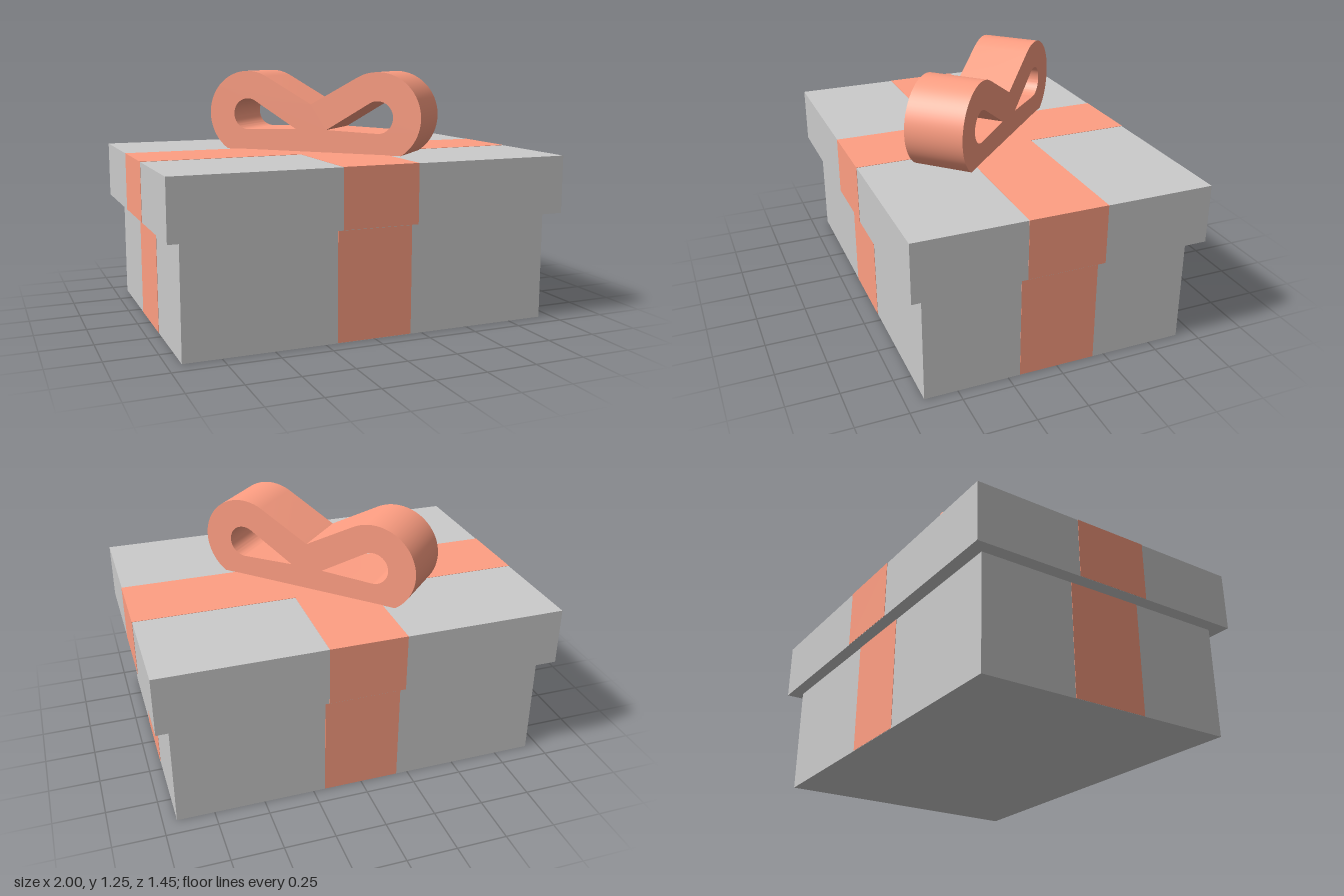
import * as THREE from 'three';
import { toCreasedNormals } from 'three/addons/utils/BufferGeometryUtils.js';

const grey = new THREE.MeshStandardMaterial({ color: 0xcccccc });
const salmon = new THREE.MeshStandardMaterial({ color: 0xff9f83 });

function box(name, material, halfX, halfZ, y0, y1) {
  const mesh = new THREE.Mesh(new THREE.BoxGeometry(halfX * 2, y1 - y0, halfZ * 2), material);
  mesh.position.y = (y0 + y1) / 2;
  mesh.name = name;
  return mesh;
}

// Two mirrored round loops meeting in a V, each with a teardrop hole
function bowGeometry() {
  const loopX = 0.36, loopY = 1.026, radius = 0.224, holeRadius = 0.081, depth = 0.298;
  const arc = (r, from, to) => Array.from({ length: 41 }, (_, i) => {
    const a = THREE.MathUtils.degToRad(from + (to - from) * i / 40);
    return new THREE.Vector2(loopX + r * Math.cos(a), loopY + r * Math.sin(a));
  });
  const mirror = (points) => points.map((p) => new THREE.Vector2(-p.x, p.y)).reverse();

  const side = arc(radius, -90, 118);
  const shape = new THREE.Shape([...side, new THREE.Vector2(0, 1.083), ...mirror(side)]);
  const hole = [...arc(holeRadius, -92, 121), new THREE.Vector2(0.085, 0.955)];
  shape.holes.push(new THREE.Path(hole), new THREE.Path(mirror(hole)));

  const geometry = new THREE.ExtrudeGeometry(shape, { depth, bevelEnabled: false });
  geometry.translate(0, 0, -depth / 2);
  return toCreasedNormals(geometry, 0.5);
}

export function createModel() {
  const group = new THREE.Group();
  const skin = 0.0015; // ribbons lie almost flush on the box
  const parts = [
    { name: 'body', x: 0.933, z: 0.661, y0: 0, y1: 0.55, top: 0 },
    { name: 'lid', x: 0.9985, z: 0.725, y0: 0.55, y1: 0.839, top: skin },
  ];
  const ribbonHalf = 0.191;

  // Body and lid, each wrapped by two crossing ribbons
  for (const { name, x, z, y0, y1, top } of parts) {
    group.add(
      box(name, grey, x, z, y0, y1),
      box(name + 'RibbonFrontToBack', salmon, ribbonHalf, z + skin, y0 + skin, y1 + top),
      box(name + 'RibbonSideToSide', salmon, x + skin, ribbonHalf, y0 + skin, y1 + top),
    );
  }

  // Bow set diagonally across the lid
  const bow = new THREE.Mesh(bowGeometry(), salmon);
  bow.name = 'bow';
  bow.rotation.y = -Math.PI / 4;
  group.add(bow);
  return group;
}
